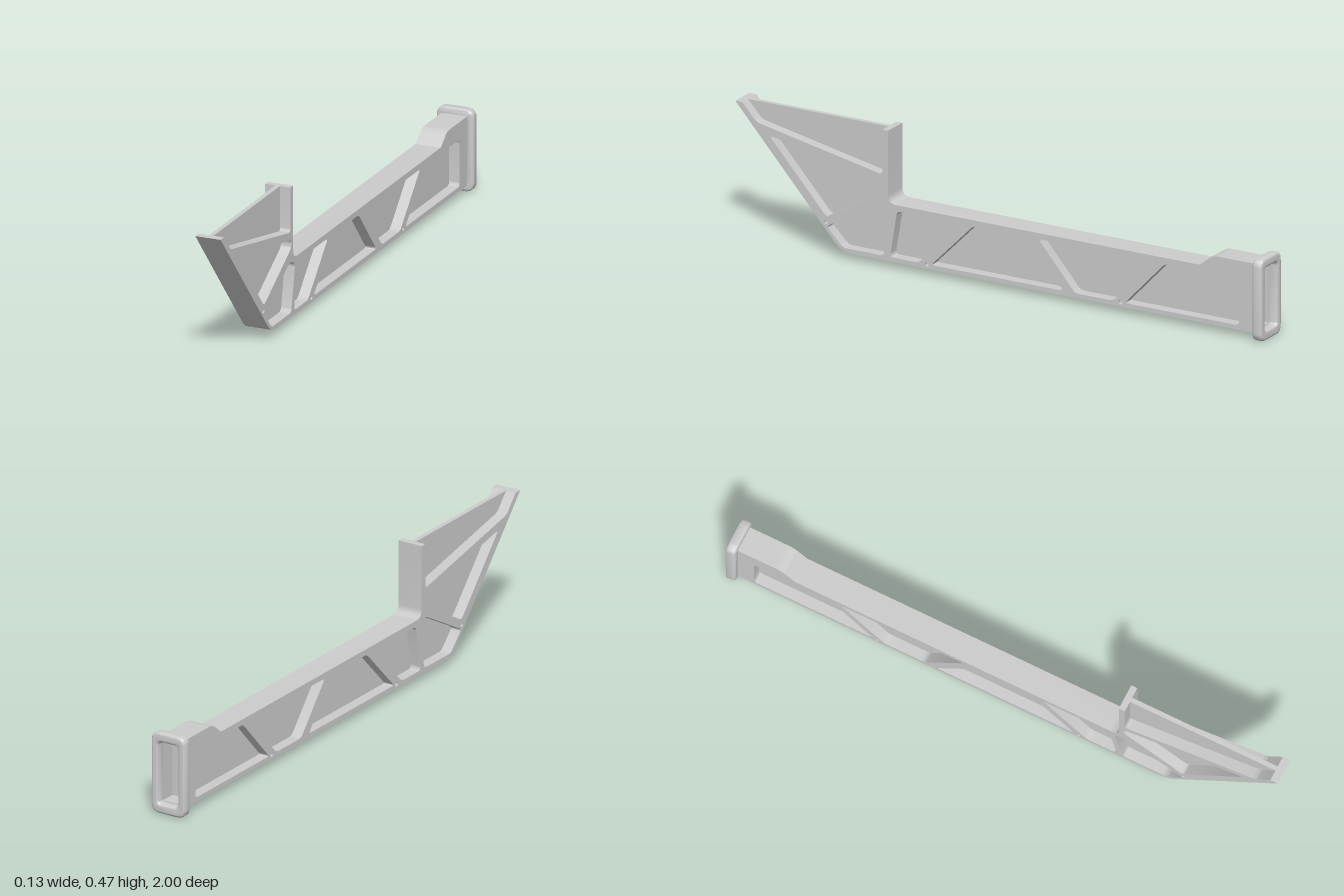
import * as THREE from 'three';
import { toCreasedNormals } from 'three/addons/utils/BufferGeometryUtils.js';

const material = new THREE.MeshStandardMaterial({ color: 0xcccccc });
const WIDTH = 0.09, WEB = 0.016, SKIN = 0.007;

// Closed polygon of [z, y, cornerSize]; corners with a size are rounded
function rounded(points, size = 0, Type = THREE.Shape) {
  const shape = new Type();
  const n = points.length;
  points.forEach(([x, y, r = size], i) => {
    const p = new THREE.Vector2(x, y);
    const toward = (q) => {
      const d = new THREE.Vector2(q[0], q[1]).sub(p);
      return p.clone().add(d.setLength(Math.min(r, d.length() * 0.45)));
    };
    const a = toward(points[(i + n - 1) % n]);
    const b = toward(points[(i + 1) % n]);
    if (i === 0) shape.moveTo(a.x, a.y); else shape.lineTo(a.x, a.y);
    if (r > 0) shape.quadraticCurveTo(x, y, b.x, b.y);
  });
  shape.closePath();
  return shape;
}

function addMesh(group, name, geometry) {
  const mesh = new THREE.Mesh(toCreasedNormals(geometry, 0.6), material);
  mesh.name = name;
  group.add(mesh);
  return mesh;
}

// Extrude a side profile (z, y) across x, centred on the given x
function across(shape, width, x = 0) {
  return new THREE.ExtrudeGeometry(shape, { depth: width, bevelEnabled: false, curveSegments: 6 })
    .translate(0, 0, -width / 2).rotateY(-Math.PI / 2).translate(x, 0, 0);
}

// Pockets along the arm; each has a thin web in its middle
const pockets = [
  [[0.872, 0.377], [0.437, 0.29], [0.437, 0.262], [0.655, 0.135]],
  [[0.655, 0.103], [0.444, 0.219], [0.406, 0.199], [0.438, 0.04], [0.592, 0.04]],
  [[0.388, 0.202], [0.145, 0.202], [0.305, 0.04], [0.415, 0.04]],
  [[0.1, 0.202], [-0.1, 0.202], [-0.24, 0.04], [0.26, 0.04]],
  [[-0.145, 0.202], [-0.59, 0.202], [-0.43, 0.04], [-0.285, 0.04]],
  [[-0.625, 0.202], [-0.904, 0.202], [-0.904, 0.04], [-0.472, 0.04]],
];
const openPocket = [[0.973, 0.473, 0], [0.92, 0.414], [0.444, 0.318], [0.444, 0.473, 0]];
const pinHoles = [[0.658, 0.116], [0.276, 0.038], [-0.456, 0.039]];

export function createModel() {
  const model = new THREE.Group();
  model.name = 'bracketArm';

  // Rib frame: outer flanges and diagonal ribs
  const frame = rounded([
    [1, 0.473], ...openPocket.map(([z, y, r = 0.014]) => [z, y, r]),
    [0.422, 0.473], [0.422, 0.222, 0.03],
    [-0.915, 0.222], [-0.915, 0.024], [0.597, 0.024, 0.04],
  ]);
  pockets.forEach((p) => frame.holes.push(rounded(p, 0.014, THREE.Path)));
  pinHoles.forEach(([z, y]) =>
    frame.holes.push(new THREE.Path().absarc(z, y, 0.007, 0, Math.PI * 2, true)));
  addMesh(model, 'ribFrame', across(frame, WIDTH));

  // Webs closing the pockets at mid width
  [...pockets, openPocket].forEach((p, i) =>
    addMesh(model, `web${i + 1}`, across(rounded(p, 0.014), WEB)));

  // Hollow neck with raised top
  const cheek = rounded([
    [-0.755, 0.222, 0], [-0.805, 0.262, 0.02], [-0.97, 0.262],
    [-0.97, 0.024], [-0.915, 0.024], [-0.915, 0.222],
  ]);
  for (const side of [-1, 1]) {
    addMesh(model, side > 0 ? 'leftNeckWall' : 'rightNeckWall',
      across(cheek, SKIN, side * (WIDTH - SKIN) / 2));
  }
  const inner = WIDTH - 2 * SKIN;
  const roof = rounded([
    [-0.755, 0.222], [-0.805, 0.262, 0.02], [-0.97, 0.262],
    [-0.97, 0.25], [-0.81, 0.25], [-0.777, 0.222],
  ]);
  addMesh(model, 'neckRoof', across(roof, inner));
  addMesh(model, 'neckFloor',
    new THREE.BoxGeometry(inner, 0.012, 0.055).translate(0, 0.03, -0.9425));

  // Rounded open collar at the back end
  const rect = (w, y0, y1, r, Type) =>
    rounded([[-w, y0], [w, y0], [w, y1], [-w, y1]], r, Type);
  const collar = rect(0.066, 0, 0.283, 0.032);
  collar.holes.push(rect(inner / 2, 0.034, 0.25, 0.012, THREE.Path));
  const bevel = 0.009;
  addMesh(model, 'collar', new THREE.ExtrudeGeometry(collar, {
    depth: 0.036 - 2 * bevel, bevelThickness: bevel, bevelSize: bevel,
    bevelOffset: -bevel, bevelSegments: 4, curveSegments: 8,
  }).translate(0, 0, -1 + bevel));

  return model;
}
